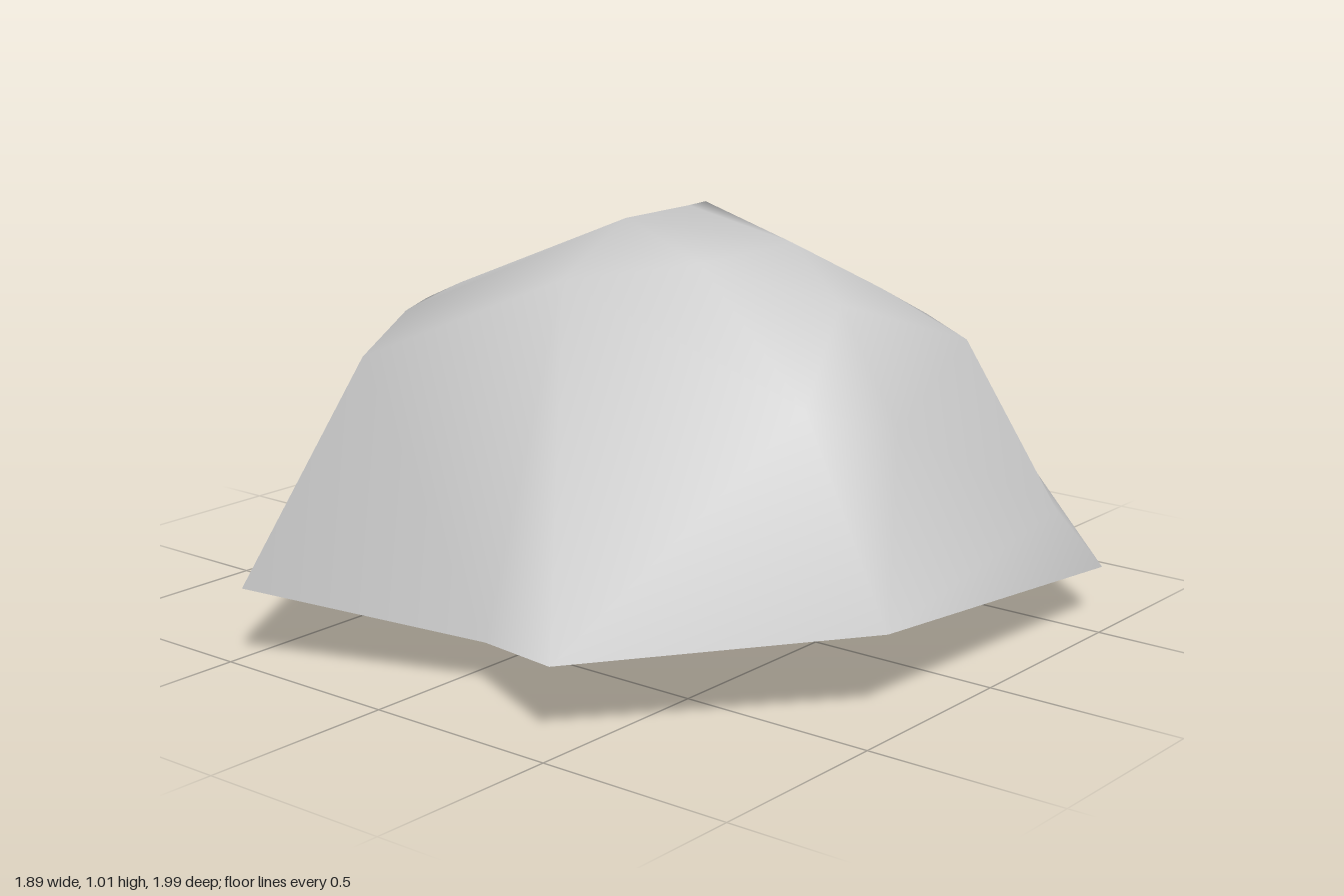
import * as THREE from 'three';

// Corner points of the boulder shell, by name
const P = {
  // ragged lower rim, going round from the back
  r1: [0, 0.03, -0.85], r2: [0.46, 0.11, -1], r3: [0.94, 0.13, -0.61],
  r4: [0.94, 0.21, 0.34], r5: [0.44, 0.18, 0.91], r6: [0.09, 0.11, 0.74],
  r7: [-0.46, 0.19, 0.99], rimCrease: [-0.9, 0.173, 0.235],
  r8: [-0.95, 0.17, 0.15], r9: [-0.8, 0, -0.22],
  // top edge of the back slab
  slabSide: [-0.75, 0.7, 0.05], slabTop: [-0.14, 0.97, -0.37], slabEnd: [0.34, 0.68, -0.7],
  // left ridge in front of the slab edge
  ridgeLow: [-0.68, 0.7, 0.2], ridgeMid: [-0.6, 0.765, 0.08], ridgeTop: [-0.1, 0.98, -0.25],
  // crown and brow
  peak: [0, 1.01, 0.12], brow: [0.1, 0.925, 0.47], crown: [0.31, 0.95, 0.22],
  crownBack: [0.32, 0.95, -0.13], dip: [0.41, 0.81, -0.38],
  // shoulder and right flank
  shoulder: [0.57, 0.855, 0.02], shoulderBack: [0.68, 0.72, -0.36],
  cheek: [0.64, 0.66, 0.25], ledge: [0.78, 0.6, 0.08], heel: [0.85, 0.28, -0.53],
  // left front bulge
  chin: [-0.36, 0.71, 0.67],
};

// Faces of the open shell, grouped by region
const FACES = [
  // left and front walls
  'rimCrease r7 chin', 'rimCrease chin ridgeLow', 'r7 r6 chin', 'r6 brow chin',
  'ridgeLow chin brow', 'r6 r5 brow', 'brow r5 cheek',
  // crown
  'ridgeLow brow peak', 'ridgeLow peak ridgeMid', 'ridgeMid peak ridgeTop',
  'brow cheek crown', 'crown cheek shoulder', 'brow crown peak',
  'peak crown crownBack', 'peak crownBack ridgeTop', 'crown shoulder crownBack',
  // right flank
  'r5 r4 cheek', 'r4 ledge cheek', 'cheek ledge shoulder', 'r4 heel ledge',
  'r4 r3 heel', 'ledge heel shoulderBack', 'shoulder ledge shoulderBack',
  'shoulder shoulderBack dip', 'shoulder dip crownBack',
  // step behind the ridge and crown
  'r8 rimCrease ridgeLow', 'r8 ridgeLow slabSide', 'slabSide ridgeLow ridgeMid',
  'slabSide ridgeMid slabTop', 'ridgeMid ridgeTop slabTop',
  'ridgeTop crownBack slabTop', 'crownBack dip slabTop', 'slabTop dip slabEnd',
  'dip shoulderBack slabEnd', 'shoulderBack heel slabEnd', 'heel r3 slabEnd',
  // broad back slab
  'r8 slabSide r9', 'slabSide slabTop r9', 'slabTop r1 r9',
  'slabTop slabEnd r1', 'slabEnd r2 r1', 'slabEnd r3 r2',
];

export function createModel() {
  const stone = new THREE.MeshStandardMaterial({ color: 0xcccccc });
  stone.name = 'greyStone';
  stone.side = THREE.DoubleSide;

  // Smooth sheet, with corners shared between faces
  const names = Object.keys(P);
  const geometry = new THREE.BufferGeometry();
  geometry.setAttribute('position',
    new THREE.Float32BufferAttribute(names.flatMap((n) => P[n]), 3));
  geometry.setIndex(FACES.flatMap((f) => f.split(' ').map((n) => names.indexOf(n))));
  geometry.computeVertexNormals();

  const shell = new THREE.Mesh(geometry, stone);
  shell.name = 'rockShell';
  const model = new THREE.Group();
  model.name = 'boulder';
  model.add(shell);
  return model;
}
